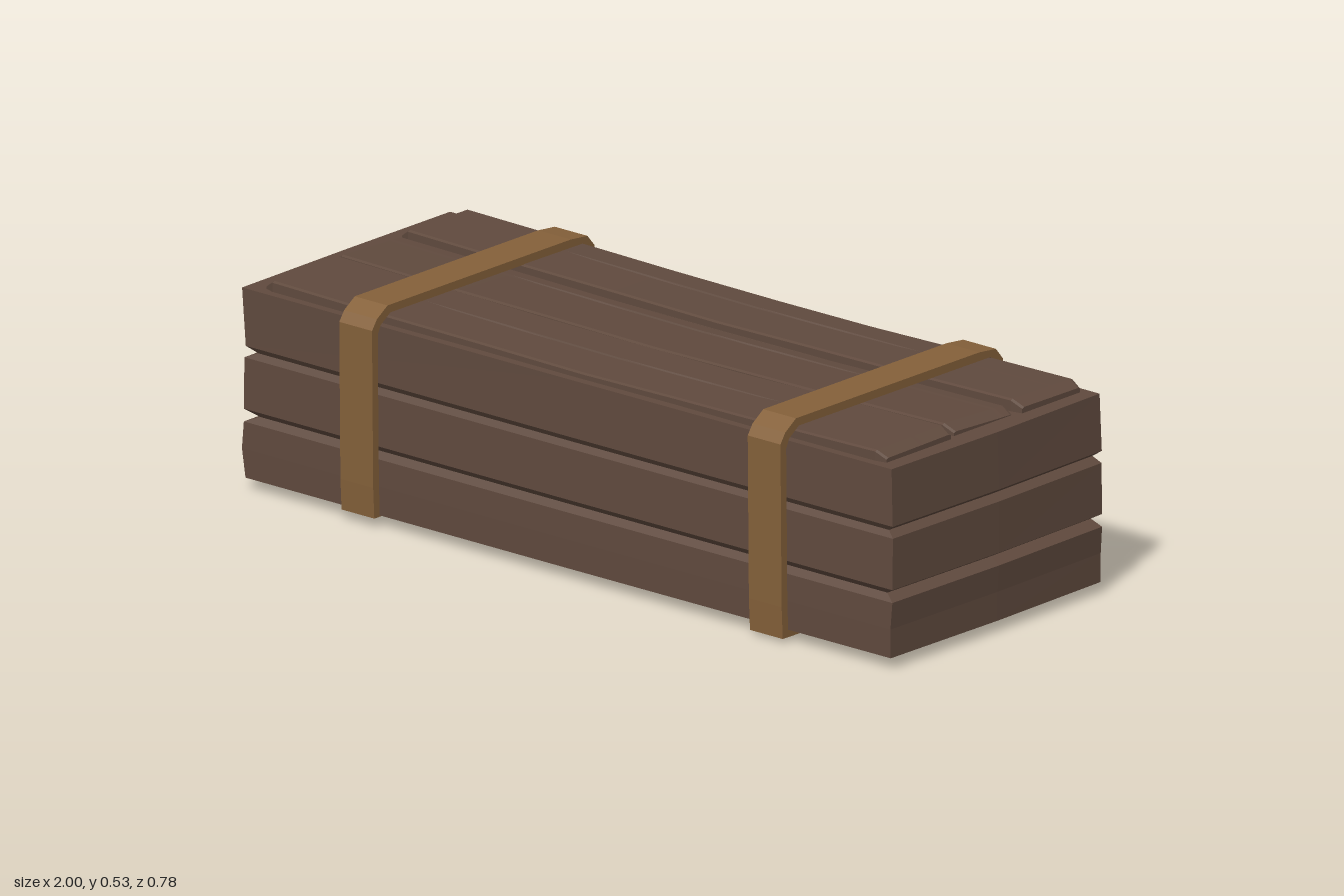
import * as THREE from 'three';

const wood = new THREE.MeshStandardMaterial({ color: 0x604a3e, flatShading: true });
wood.name = 'darkWood';
const band = new THREE.MeshStandardMaterial({ color: 0x85613a, flatShading: true });
band.name = 'strapBrown';

// Skins a row of closed rings (each counter-clockwise about the direction of travel) and caps both ends.
function loft(rings) {
  const pos = [];
  const n = rings[0].length;
  const tri = (a, b, c) => pos.push(...a, ...b, ...c);
  const centre = (r) => [0, 1, 2].map((k) => r.reduce((s, p) => s + p[k], 0) / n);
  const first = rings[0], last = rings[rings.length - 1];
  const c0 = centre(first), c1 = centre(last);
  for (let i = 0; i < n; i++) {
    const j = (i + 1) % n;
    for (let r = 0; r + 1 < rings.length; r++) {
      const a = rings[r], b = rings[r + 1];
      tri(a[i], a[j], b[j]);
      tri(a[i], b[j], b[i]);
    }
    tri(c0, first[j], first[i]);
    tri(c1, last[i], last[j]);
  }
  const g = new THREE.BufferGeometry();
  g.setAttribute('position', new THREE.Float32BufferAttribute(pos, 3));
  g.computeVertexNormals();
  return g;
}

function add(group, name, geometry, material) {
  const mesh = new THREE.Mesh(geometry, material);
  mesh.name = name;
  group.add(mesh);
}

// Three stacked tiers of boards, separated by V grooves: [y, left x, right x, half depth]
function bodyGeometry() {
  const levels = [
    [0.03, 0.985, 0.985, 0.365], [0.1, 0.995, 0.985, 0.366], [0.165, 0.99, 0.99, 0.365],
    [0.182, 0.95, 0.965, 0.354], [0.196, 0.99, 0.99, 0.365],
    [0.32, 0.99, 0.99, 0.363], [0.335, 0.955, 0.97, 0.354], [0.349, 0.985, 0.99, 0.364],
    [0.487, 0.998, 0.985, 0.362],
  ];
  return loft(levels.map(([y, l, r, d]) => [
    [0, y, d + 0.002], [r, y, d], [r + 0.006, y, 0], [r, y, -d],
    [0, y, -d - 0.002], [-l, y, -d], [-l - 0.002, y, 0], [-l, y, d],
  ]));
}

// A sagging lid board with sloped ends and one long crack that fades out towards the ends
function plankGeometry({ z0, z1, crack, left, right, h0, h1 }) {
  const stations = [
    [left, -0.012, 0, 0.01], [left + 0.025, 0.005, 0, 0.002], [-0.57, 0, 0, 0],
    [-0.3, -0.003, 0.008, 0.002], [0.02, -0.006, 0.01, 0], [0.3, -0.004, 0.007, 0.003],
    [0.52, -0.001, 0, 0], [right - 0.03, 0.005, 0, 0.002], [right, -0.01, 0, 0.008],
  ];
  return loft(stations.map(([x, dy, deep, inset]) => {
    const a = z0 + inset, b = z1 - inset;
    const top = (z) => h0 + dy + (h1 - h0) * (z - z0) / (z1 - z0);
    return [
      [x, top(a) - 0.003, a], [x, top(a), a + 0.007],
      [x, top(crack), crack - 0.005], [x, top(crack) - deep, crack], [x, top(crack), crack + 0.005],
      [x, top(b), b - 0.007], [x, top(b) - 0.003, b],
      [x, 0.478, b], [x, 0.478, a],
    ];
  }));
}

// A closed band around the chest, with bevelled upper corners
function strapGeometry(x, lift, scale) {
  const v = (p) => p.map(([z, y]) => new THREE.Vector2(z, lift + y * scale));
  const shape = new THREE.Shape(v([
    [0.384, 0.012], [0.388, 0.09], [0.392, 0.485], [0.375, 0.51], [0.338, 0.535],
    [-0.3, 0.533], [-0.358, 0.527], [-0.383, 0.497], [-0.392, 0.05], [-0.385, 0.002],
  ]));
  shape.holes.push(new THREE.Path(v([
    [0.365, 0.03], [-0.366, 0.025], [-0.369, 0.06], [-0.362, 0.485], [-0.34, 0.512],
    [0.328, 0.515], [0.362, 0.492], [0.372, 0.47], [0.368, 0.09],
  ])));
  const g = new THREE.ExtrudeGeometry(shape, { depth: 0.1, bevelEnabled: false });
  return g.rotateY(-Math.PI / 2).translate(x + 0.05, 0, 0);
}

export function createModel() {
  const chest = new THREE.Group();
  chest.name = 'woodenChest';
  add(chest, 'chestBody', bodyGeometry(), wood);

  const planks = [
    { name: 'backLidPlank', z0: -0.348, z1: -0.13, crack: -0.27, left: -0.95, right: 0.945, h0: 0.509, h1: 0.511 },
    { name: 'middleLidPlank', z0: -0.123, z1: 0.096, crack: -0.08, left: -0.955, right: 0.935, h0: 0.498, h1: 0.507 },
    { name: 'frontLidPlank', z0: 0.102, z1: 0.342, crack: 0.21, left: -0.95, right: 0.945, h0: 0.51, h1: 0.507 },
  ];
  for (const p of planks) add(chest, p.name, plankGeometry(p), wood);

  add(chest, 'leftStrap', strapGeometry(0.622, 0, 1), band);
  add(chest, 'rightStrap', strapGeometry(-0.625, 0.015, 0.965), band);
  return chest;
}
